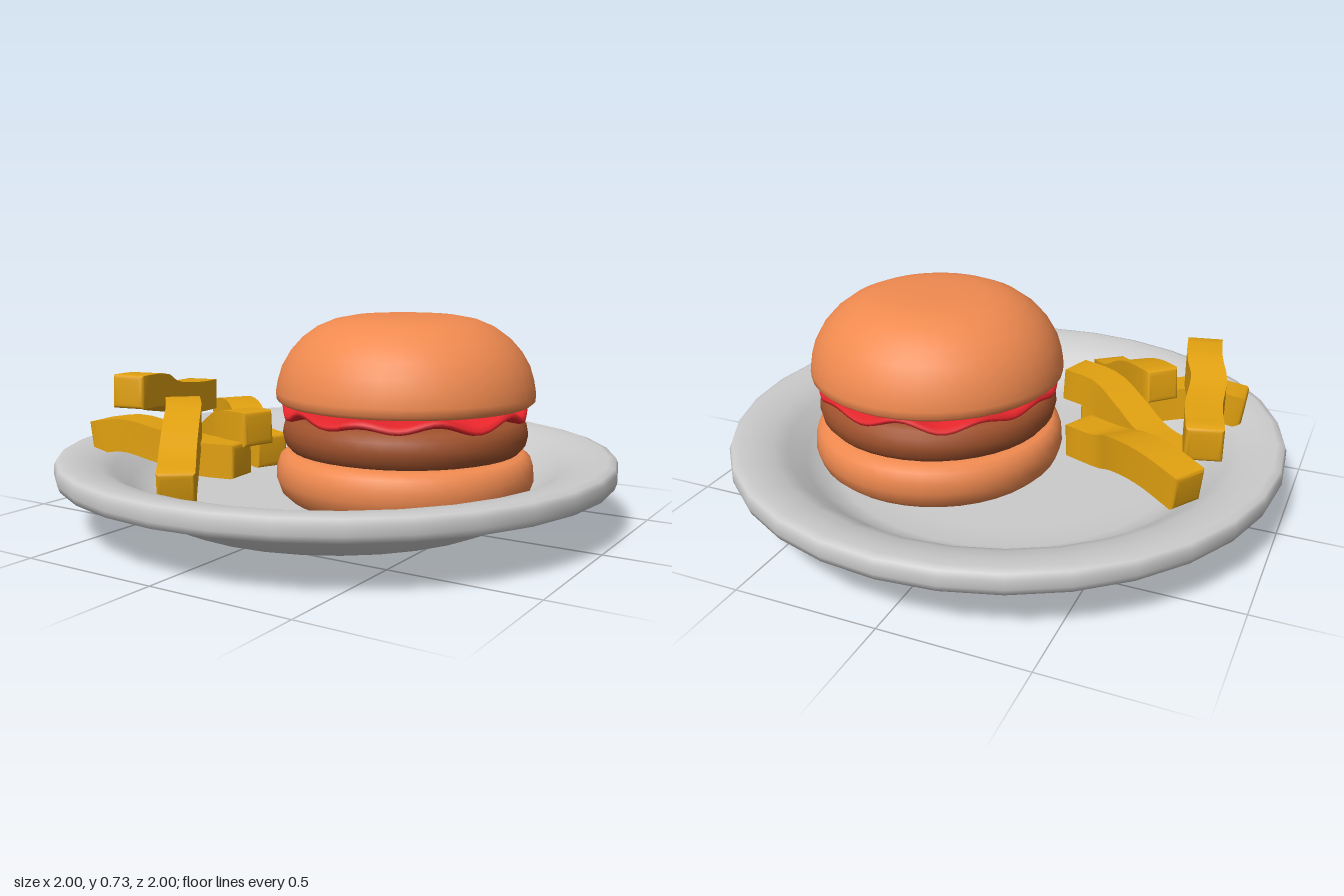
import * as THREE from 'three';
import { mergeVertices, toCreasedNormals } from 'three/addons/utils/BufferGeometryUtils.js';

const mat = (color) => new THREE.MeshStandardMaterial({ color });

// Smooth solid of revolution from [radius, height] pairs, bottom to top
function turned(points, segments = 40) {
  return new THREE.LatheGeometry(points.map(([r, y]) => new THREE.Vector2(r, y)), segments);
}

function part(name, geometry, material) {
  const mesh = new THREE.Mesh(geometry, material);
  mesh.name = name;
  return mesh;
}

// Bevelled bar bent along a curve through the given points
function fryGeometry(points, width, height) {
  const b = 0.018, w = width / 2 - b, h = height / 2 - b;
  const shape = new THREE.Shape([[-w, -h], [w, -h], [w, h], [-w, h]].map(([x, y]) => new THREE.Vector2(x, y)));
  const bar = new THREE.ExtrudeGeometry(shape, {
    depth: 1 - 2 * b, steps: 14, bevelThickness: b, bevelSize: b, bevelSegments: 3,
  });
  bar.translate(0, 0, b);
  const curve = new THREE.CatmullRomCurve3(points.map((p) => new THREE.Vector3(...p)));
  const up = new THREE.Vector3(0, 1, 0);
  const pos = bar.attributes.position;
  for (let i = 0; i < pos.count; i++) {
    const t = THREE.MathUtils.clamp(pos.getZ(i), 0, 1);
    const forward = curve.getTangentAt(t);
    const side = new THREE.Vector3().crossVectors(up, forward).normalize();
    const lift = new THREE.Vector3().crossVectors(forward, side);
    const p = curve.getPointAt(t).addScaledVector(side, pos.getX(i)).addScaledVector(lift, pos.getY(i));
    pos.setXYZ(i, p.x, p.y, p.z);
  }
  bar.deleteAttribute('uv');
  bar.deleteAttribute('normal');
  return toCreasedNormals(mergeVertices(bar, 1e-4), 0.7);
}

// Thin slice whose edge ripples up and down
function sliceGeometry() {
  const g = turned([[0, 0.385], [0.2, 0.385], [0.34, 0.385], [0.415, 0.384], [0.43, 0.39],
    [0.432, 0.402], [0.42, 0.412], [0.34, 0.408], [0.2, 0.404], [0, 0.404]], 96);
  const pos = g.attributes.position;
  for (let i = 0; i < pos.count; i++) {
    const x = pos.getX(i), z = pos.getZ(i);
    const a = Math.atan2(z, x), r = Math.hypot(x, z) / 0.43;
    const wave = 0.014 * Math.sin(10 * a) + 0.006 * Math.sin(7 * a + 1);
    const k = 1 + 0.012 * r * Math.sin(5 * a);
    pos.setXYZ(i, x * k, pos.getY(i) + wave * r ** 4, z * k);
  }
  g.computeVertexNormals();
  return g;
}

export function createModel() {
  const model = new THREE.Group();
  model.name = 'burgerMeal';
  const bunMat = mat(0xf08a50), fryMat = mat(0xe0a010);

  // Plate: shallow bowl with a broad thick rim
  model.add(part('plate', turned([
    [0, 0], [0.4, 0.002], [0.55, 0.01], [0.62, 0.022], [0.68, 0.05], [0.75, 0.1], [0.79, 0.137],
    [0.84, 0.158], [0.9, 0.16], [0.965, 0.16], [0.99, 0.168], [0.998, 0.19], [0.998, 0.22],
    [0.99, 0.238], [0.965, 0.245], [0.91, 0.24], [0.85, 0.225], [0.8, 0.2], [0.74, 0.15],
    [0.68, 0.108], [0.62, 0.09], [0.5, 0.083], [0, 0.08],
  ], 32), mat(0xcccccc)));

  // Burger: stacked layers
  const burger = new THREE.Group();
  burger.name = 'burger';
  burger.position.set(0.25, 0, -0.06);
  burger.add(part('bottomBun', turned([
    [0, 0.08], [0.36, 0.08], [0.41, 0.088], [0.44, 0.115], [0.456, 0.16], [0.454, 0.2],
    [0.443, 0.235], [0.42, 0.252], [0.38, 0.257], [0, 0.257],
  ]), bunMat));
  burger.add(part('patty', turned([
    [0, 0.253], [0.37, 0.253], [0.405, 0.262], [0.425, 0.285], [0.433, 0.32], [0.427, 0.352],
    [0.41, 0.375], [0.38, 0.385], [0, 0.385],
  ]), mat(0xa0522d)));
  burger.add(part('tomatoSlice', sliceGeometry(), mat(0xe8262c)));
  burger.add(part('topBun', turned([
    [0, 0.425], [0.4, 0.425], [0.44, 0.428], [0.454, 0.44], [0.456, 0.465], [0.449, 0.505],
    [0.434, 0.555], [0.405, 0.605], [0.365, 0.65], [0.31, 0.69], [0.25, 0.715], [0.18, 0.728],
    [0.09, 0.731], [0, 0.732],
  ]), bunMat));
  model.add(burger);

  // Fries: a loose pile of bent bars
  const fries = new THREE.Group();
  fries.name = 'fries';
  [
    [[-0.75, 0.27, -0.3], [-0.61, 0.29, -0.21], [-0.5, 0.27, -0.12], [-0.4, 0.22, -0.02], [-0.25, 0.21, 0.05]],
    [[-0.76, 0.365, -0.165], [-0.715, 0.375, 0.0], [-0.69, 0.4, 0.17], [-0.65, 0.44, 0.27], [-0.615, 0.45, 0.43]],
    [[-0.66, 0.19, 0.01], [-0.52, 0.22, 0.07], [-0.4, 0.28, 0.15], [-0.3, 0.325, 0.21], [-0.16, 0.335, 0.255]],
    [[-0.51, 0.365, 0.255], [-0.43, 0.35, 0.34], [-0.34, 0.3, 0.46], [-0.26, 0.23, 0.57], [-0.165, 0.195, 0.69]],
    [[-0.79, 0.27, 0.39], [-0.64, 0.29, 0.375], [-0.5, 0.265, 0.36], [-0.36, 0.23, 0.325], [-0.19, 0.23, 0.31]],
  ].forEach((path, i) => fries.add(part('fry' + (i + 1), fryGeometry(path, 0.125, 0.12), fryMat)));
  model.add(fries);

  return model;
}
